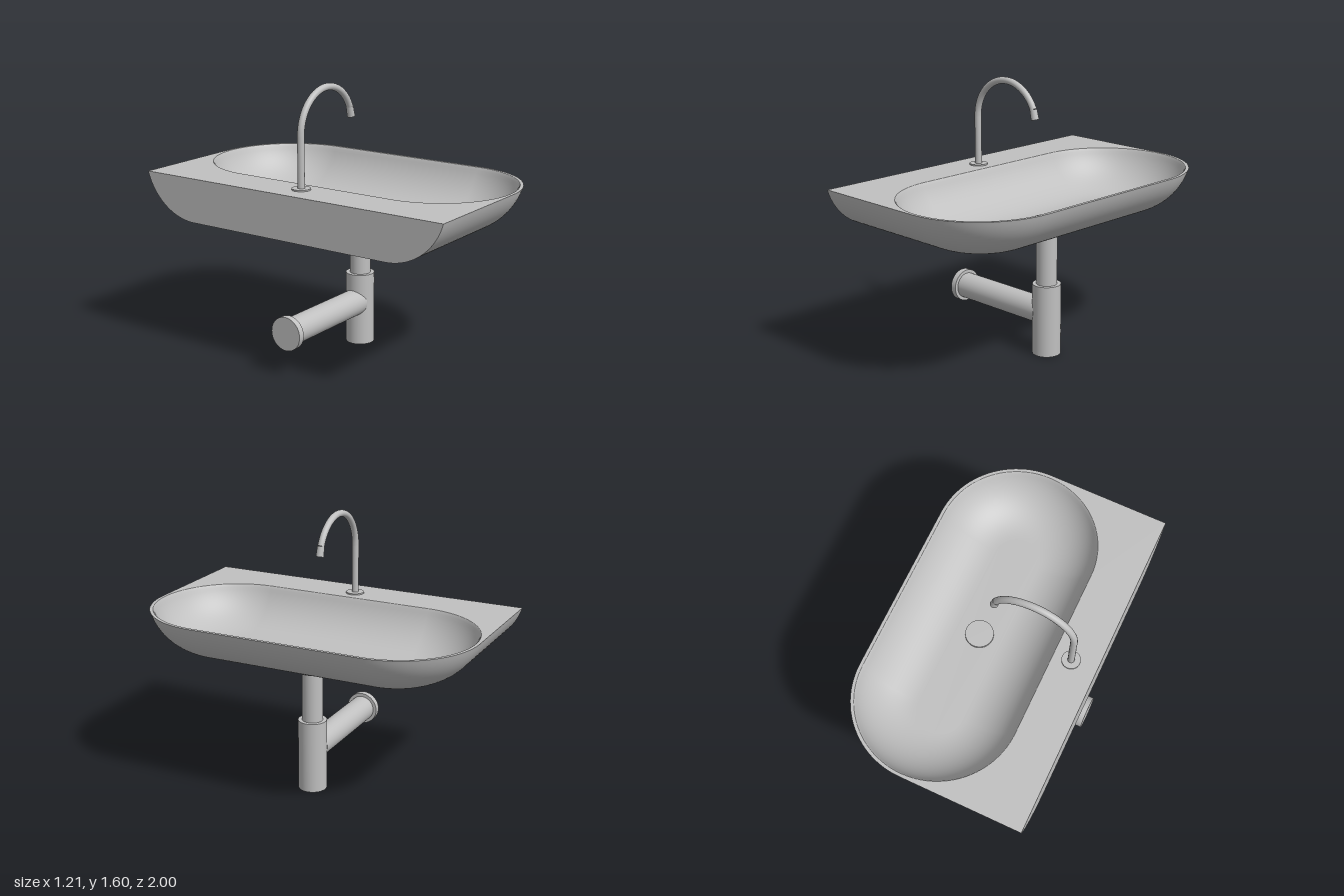
import * as THREE from 'three';

const TOP = 1.046, BOTTOM = 0.787, BACK = -0.605; // basin limits
const CX = 0.12, CZ = 0.515, R_OUT = 0.485; // corner centres and radius
const ARC = 0.361, WALL = 0.022; // radius of the curved underside, wall thickness
const PIPE_X = 0.118;

// Quarter-circle corners on the +x side, run from +z round to -z
function frontCurve(r, n = 24) {
  const pts = [];
  for (const [z, start] of [[CZ, Math.PI / 2], [-CZ, 0]]) {
    for (let i = 0; i <= n; i++) {
      const a = start - (i / n) * Math.PI / 2;
      pts.push([CX + r * Math.cos(a), z + r * Math.sin(a)]);
    }
  }
  return pts;
}

// Basin outline: square at the back, rounded at the front
function basinOutline(r) {
  return [[BACK, CZ + r], ...frontCurve(r), [BACK, -CZ - r]];
}

// Bowl outline: a closed stadium
function bowlOutline(r) {
  const front = frontCurve(r);
  const back = front.map(([x, z]) => [2 * CX - x, z]).reverse();
  return [...front, ...back.slice(1, -1)];
}

// Wall section from the flat bottom up to the rim, as corner radius r at height y
const CENTRE_Y = BOTTOM + ARC;
const CENTRE_R = R_OUT - Math.sqrt(ARC ** 2 - (CENTRE_Y - TOP) ** 2);
function wallSection(radius, n = 24) {
  const maxA = Math.acos((CENTRE_Y - TOP) / radius);
  return Array.from({ length: n + 1 }, (_, i) => {
    const a = (i / n) * maxA;
    return { r: CENTRE_R + radius * Math.sin(a), y: CENTRE_Y - radius * Math.cos(a) };
  });
}

// Skin through equal-length rings of [x, z] at height y
function loft(rings, closed) {
  const n = rings[0].pts.length, pos = [], idx = [];
  for (const { pts, y } of rings) for (const [x, z] of pts) pos.push(x, y, z);
  for (let v = 0; v < rings.length - 1; v++) {
    for (let u = 0; u < (closed ? n : n - 1); u++) {
      const a = v * n + u, b = v * n + (u + 1) % n;
      idx.push(a, b, b + n, a, b + n, a + n);
    }
  }
  const geo = new THREE.BufferGeometry();
  geo.setAttribute('position', new THREE.Float32BufferAttribute(pos, 3));
  geo.setIndex(idx);
  geo.computeVertexNormals();
  return geo;
}

const toShape = (pts) => new THREE.Shape(pts.map(([x, y]) => new THREE.Vector2(x, y)));

export function createModel() {
  const group = new THREE.Group();
  const grey = new THREE.MeshStandardMaterial({ color: 0xc0c0c0 });
  grey.name = 'grey';

  const add = (name, geo, x = 0, y = 0, z = 0) => {
    const mesh = new THREE.Mesh(geo, grey);
    mesh.name = name;
    mesh.position.set(x, y, z);
    group.add(mesh);
    return mesh;
  };

  // Outer shell: a circular arc, tangent to the flat underside
  const outer = wallSection(ARC);
  add('basinShell', loft(outer.map(({ r, y }) => ({ pts: basinOutline(r), y })), false));
  const under = new THREE.ShapeGeometry(toShape(basinOutline(outer[0].r)));
  add('basinUnderside', under.rotateX(Math.PI / 2), 0, BOTTOM, 0);

  // Flat back against the wall
  const side = outer.map(({ r, y }) => [CZ + r, y]);
  const mirrored = side.map(([z, y]) => [-z, y]).reverse();
  add('basinBack', new THREE.ShapeGeometry(toShape([...side, ...mirrored])).rotateY(-Math.PI / 2), BACK, 0, 0);

  // Bowl: parallel to the outer wall, with a softened lip and a flat floor
  const inner = wallSection(ARC - WALL).reverse();
  const rim = inner[0].r;
  const lip = [{ r: rim + 0.004, y: TOP }, { r: rim + 0.001, y: TOP - 0.002 }];
  const bowl = [...lip, ...inner.slice(1)];
  add('bowl', loft(bowl.map(({ r, y }) => ({ pts: bowlOutline(r), y })), true));
  const floor = inner[inner.length - 1];
  const floorShape = toShape(bowlOutline(floor.r));
  add('bowlFloor', new THREE.ShapeGeometry(floorShape).rotateX(-Math.PI / 2), 0, floor.y, 0);

  // Top deck with the bowl opening
  const deck = toShape(basinOutline(R_OUT));
  deck.holes.push(toShape(bowlOutline(lip[0].r)));
  add('basinDeck', new THREE.ShapeGeometry(deck).rotateX(-Math.PI / 2), 0, TOP, 0);

  // Drain plug
  add('drainPlug', new THREE.CylinderGeometry(0.083, 0.083, 0.014, 40), PIPE_X, floor.y + 0.007, 0);

  // Tap: base plate, swan-neck spout and nozzle
  const tapX = -0.449, bend = 0.24, bendX = tapX + bend, bendY = 1.34;
  const onBend = (a) => new THREE.Vector3(bendX + bend * Math.cos(a), bendY + bend * Math.sin(a), 0);
  const neck = new THREE.CurvePath();
  neck.add(new THREE.LineCurve3(new THREE.Vector3(tapX, TOP, 0), onBend(Math.PI)));
  const bendPts = [];
  for (let i = 0; i <= 16; i++) bendPts.push(onBend(Math.PI + (i / 16) * (0.42 - Math.PI)));
  neck.add(new THREE.CatmullRomCurve3(bendPts));
  add('tapBase', new THREE.CylinderGeometry(0.054, 0.054, 0.008, 32), tapX, TOP + 0.004, 0);
  add('tapNeck', new THREE.TubeGeometry(neck, 72, 0.02, 16, false));

  const from = onBend(0.43), to = new THREE.Vector3(0.023, 1.382, 0);
  const dir = to.clone().sub(from);
  const nozzle = add('tapNozzle', new THREE.CylinderGeometry(0.021, 0.023, dir.length(), 24));
  nozzle.position.copy(from).add(to).multiplyScalar(0.5);
  nozzle.quaternion.setFromUnitVectors(new THREE.Vector3(0, -1, 0), dir.normalize());

  // Bottle trap, stacked from the floor up: name, radius, low, high
  for (const [name, r, low, high] of [
    ['trapBody', 0.084, 0, 0.43],
    ['trapTube', 0.061, 0.43, 0.729],
    ['trapCollar', 0.084, 0.729, BOTTOM],
  ]) {
    add(name, new THREE.CylinderGeometry(r, r, high - low, 40), PIPE_X, (low + high) / 2, 0);
  }

  // Waste pipe running to the wall: name, radius, start, end
  for (const [name, r, x0, x1] of [
    ['wastePipe', 0.078, -0.567, 0.08],
    ['wallFlange', 0.098, BACK, -0.567],
  ]) {
    add(name, new THREE.CylinderGeometry(r, r, x1 - x0, 40).rotateZ(Math.PI / 2), (x0 + x1) / 2, 0.253, 0);
  }

  return group;
}
